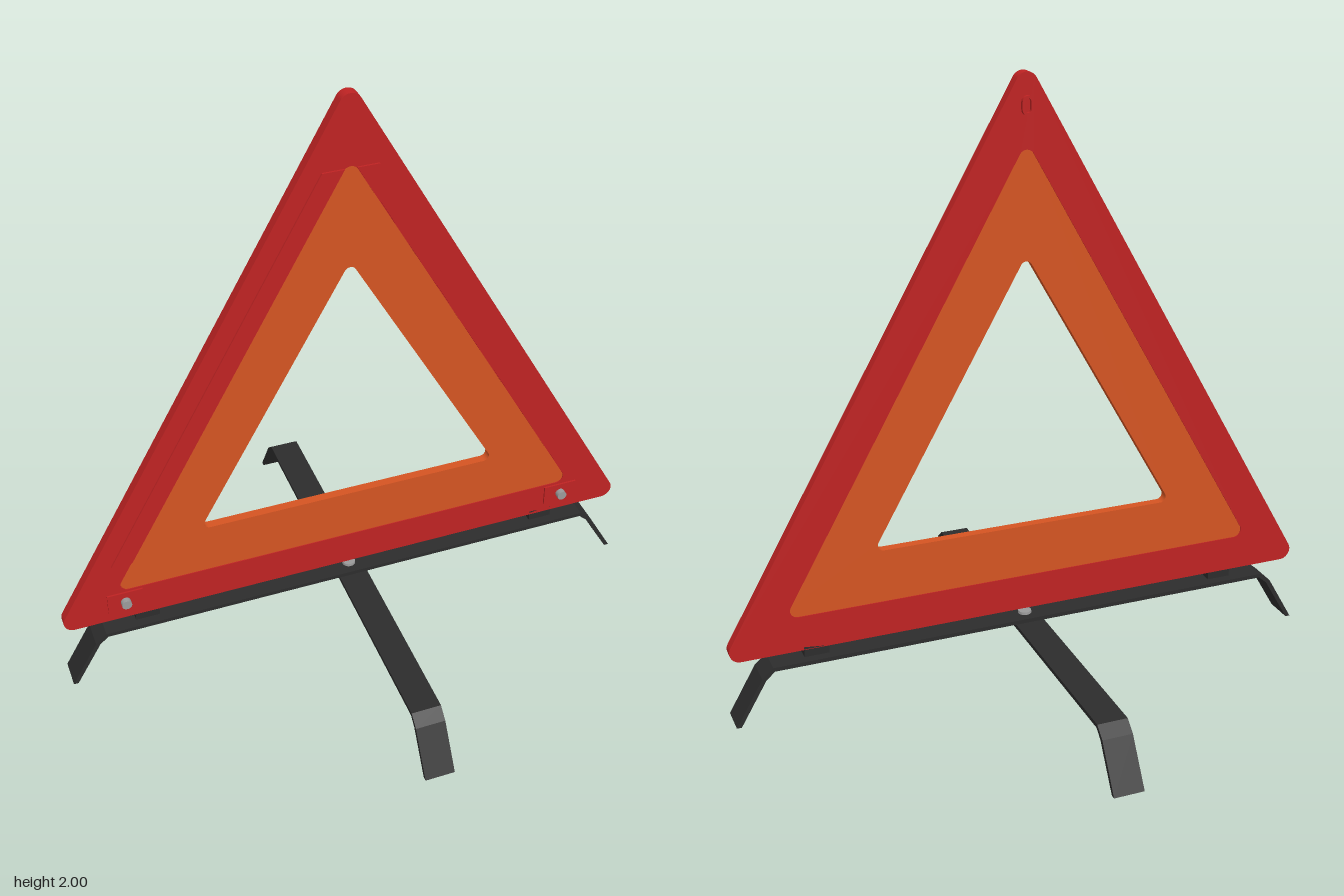
import * as THREE from 'three';

const mat = (name, color) => Object.assign(new THREE.MeshStandardMaterial({ color }), { name });

// Triangle with round corners, from its overall extents
function roundTriangle(Type, halfW, bottom, top, r) {
  const a = halfW - r, lo = bottom + r, hi = top - r;
  const ang = Math.atan2(a, hi - lo);
  const p = new Type();
  p.absarc(a, lo, r, -Math.PI / 2, ang);
  p.absarc(0, hi, r, ang, Math.PI - ang);
  p.absarc(-a, lo, r, Math.PI - ang, Math.PI * 1.5);
  p.closePath();
  return p;
}

// Upright capsule outline
function capsule(Type, y, halfW, halfH) {
  const p = new Type(), s = halfH - halfW;
  p.absarc(0, y + s, halfW, 0, Math.PI);
  p.absarc(0, y - s, halfW, Math.PI, Math.PI * 2);
  p.closePath();
  return p;
}

const polygon = (pts) => new THREE.Shape(pts.map(([x, y]) => new THREE.Vector2(x, y)));

// Extrude a shape between two z positions
function slab(shape, z0, z1) {
  const g = new THREE.ExtrudeGeometry(shape, { depth: z1 - z0, bevelEnabled: false, curveSegments: 8 });
  return g.translate(0, 0, z0);
}

export function createModel() {
  const group = new THREE.Group();
  const red = mat('red reflector', 0xbf2323);
  const orange = mat('orange panel', 0xd45422);
  const black = mat('black metal', 0x2c2c2c);
  const steel = mat('steel', 0x9a9a9a);

  const add = (name, geometry, material) => {
    const m = new THREE.Mesh(geometry, material);
    m.name = name;
    group.add(m);
    return m;
  };

  // Red frame around a slightly recessed orange triangle
  const frame = roundTriangle(THREE.Shape, 1, 0.215, 2, 0.036);
  frame.holes.push(roundTriangle(THREE.Path, 0.8, 0.335, 1.765, 0.026));
  add('redFrame', slab(frame, -0.018, 0.018), red);

  const panel = roundTriangle(THREE.Shape, 0.8, 0.335, 1.765, 0.026);
  panel.holes.push(roundTriangle(THREE.Path, 0.506, 0.515, 1.415, 0.02));
  add('orangePanel', slab(panel, -0.015, 0.015), orange);

  // Hanging loop on the back of the apex
  const loop = capsule(THREE.Shape, 1.9, 0.018, 0.03);
  loop.holes.push(capsule(THREE.Path, 1.9, 0.01, 0.022));
  add('backLoop', slab(loop, -0.03, -0.017), red);

  for (const s of [-1, 1]) {
    // Raised strip along each sloping arm
    const pts = [[0.755, 0.45], [0.825, 0.45], [0.09, 1.76], [0.02, 1.76]].map(([x, y]) => [s * x, y]);
    add('armStrip', slab(polygon(pts), 0.017, 0.024), red);

    // Corner pivot: shallow pad and rivet
    const pad = new THREE.BoxGeometry(0.12, 0.075, 0.007);
    add('pivotPad', pad.translate(s * 0.79, 0.29, 0.0205), red);
    const rivet = new THREE.CylinderGeometry(0.017, 0.017, 0.022, 16).rotateX(Math.PI / 2);
    add('rivet', rivet.translate(s * 0.79, 0.29, 0.033), steel);

    // Block joining frame and base
    const block = new THREE.BoxGeometry(0.082, 0.05, 0.036);
    add('mountBlock', block.translate(s * 0.72, 0.203, 0), black);
  }

  // Bent flat bar with sloping feet at both ends
  function bar(reach, top) {
    const t = 0.013;
    const outer = [[reach, 0], [reach - 0.09, top - 0.032], [reach - 0.128, top]];
    const inner = [[reach - 0.133, top - t], [reach - 0.104, top - 0.038], [reach - 0.016, 0]];
    const flip = (pts) => pts.map(([x, y]) => [-x, y]).reverse();
    return slab(polygon([...outer, ...flip(outer), ...flip(inner), ...inner]), -0.05, 0.05);
  }
  add('crossBar', bar(0.998, 0.19), black);
  add('depthBar', bar(0.835, 0.177).rotateY(Math.PI / 2), black);

  // Swivel pin where the bars cross
  const pin = new THREE.CylinderGeometry(0.022, 0.026, 0.04, 20);
  add('swivelPin', pin.translate(0, 0.179, 0), steel);

  return group;
}
